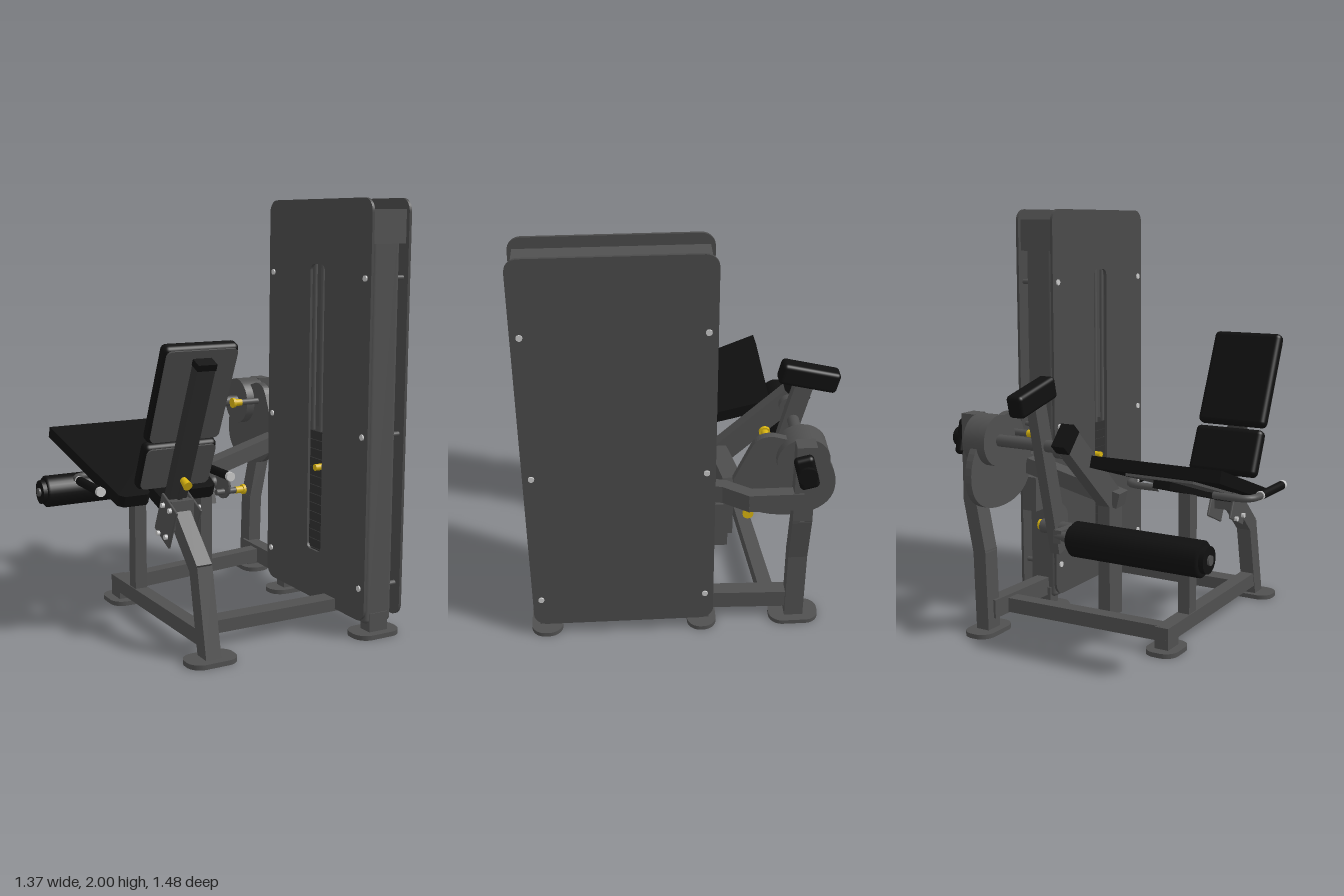
import * as THREE from 'three';
import { RoundedBoxGeometry } from 'three/addons/geometries/RoundedBoxGeometry.js';

const V = (x, y, z) => new THREE.Vector3(x, y, z);

export function createModel() {
  const root = new THREE.Group();
  const mat = (name, color) => {
    const m = new THREE.MeshStandardMaterial({ color });
    m.name = name;
    return m;
  };
  const frame = mat('frame grey', 0x505050), panel = mat('panel grey', 0x4a4a4a);
  const black = mat('black upholstery', 0x101010), dark = mat('dark steel', 0x303030);
  const yellow = mat('yellow', 0xd8b410), silver = mat('silver', 0xc8c8c8);

  const add = (name, geo, m, pos, parent = root) => {
    const mesh = new THREE.Mesh(geo, m);
    mesh.name = name;
    if (pos) mesh.position.copy(pos);
    parent.add(mesh);
    return mesh;
  };
  const box = (name, m, w, h, d, x, y, z, parent) => add(name, new THREE.BoxGeometry(w, h, d), m, V(x, y, z), parent);
  const pad = (name, m, w, h, d, r, x, y, z, parent) =>
    add(name, new RoundedBoxGeometry(w, h, d, 4, r), m, V(x, y, z), parent);
  // rod along x from x0 to x1
  const rod = (name, m, r, x0, x1, y, z, sides = 24) =>
    add(name, new THREE.CylinderGeometry(r, r, x1 - x0, sides).rotateZ(Math.PI / 2), m, V((x0 + x1) / 2, y, z));
  // square tube through points; w is its width along x (or z when it runs along x)
  const beam = (name, m, w, h, pts) => {
    const g = new THREE.Group();
    g.name = name;
    for (let i = 0; i < pts.length - 1; i++) {
      const d = pts[i + 1].clone().sub(pts[i]);
      const len = d.length();
      d.normalize();
      const side = Math.abs(d.x) > 0.8 ? V(0, 0, 1) : V(1, 0, 0);
      const n = d.clone().cross(side).normalize();
      side.copy(n).cross(d);
      const extra = pts.length > 2 ? h * 0.2 : 0;
      const b = box(name + 'Segment', m, w, h, len + extra, 0, 0, 0, g);
      b.quaternion.setFromRotationMatrix(new THREE.Matrix4().makeBasis(side, n, d));
      b.position.copy(pts[i]).add(pts[i + 1]).multiplyScalar(0.5);
    }
    root.add(g);
    return g;
  };
  const roundRect = (x0, y0, x1, y1, r, s = new THREE.Shape()) => {
    s.moveTo(x0 + r, y0).lineTo(x1 - r, y0).absarc(x1 - r, y0 + r, r, -Math.PI / 2, 0);
    s.lineTo(x1, y1 - r).absarc(x1 - r, y1 - r, r, 0, Math.PI / 2);
    s.lineTo(x0 + r, y1).absarc(x0 + r, y1 - r, r, Math.PI / 2, Math.PI);
    s.lineTo(x0, y0 + r).absarc(x0 + r, y0 + r, r, Math.PI, Math.PI * 1.5);
    return s;
  };
  const extrude = (s, depth) => new THREE.ExtrudeGeometry(s, { depth, bevelEnabled: false, curveSegments: 10 });
  // shape drawn with (-z, y) and extruded along +x
  const sidePlate = (name, m, s, depth, x) => add(name, extrude(s, depth).rotateY(Math.PI / 2), m, V(x, 0, 0));

  // feet
  const foot = (x, z, w, d) =>
    add('foot', extrude(roundRect(-w / 2, -d / 2, w / 2, d / 2, 0.065), 0.022).rotateX(-Math.PI / 2), frame, V(x, 0, z));
  foot(-0.335, 0.615, 0.24, 0.15);
  foot(0.5, 0.665, 0.24, 0.15);
  foot(0.5, -0.08, 0.24, 0.14);
  foot(-0.335, -0.33, 0.16, 0.2);
  foot(0.53, -0.53, 0.15, 0.24);

  // weight tower: side panels, the inner one slotted
  const outer = roundRect(-0.72, 0.08, 0.13, 2.0, 0.06);
  const inner = roundRect(-0.72, 0.08, 0.13, 2.0, 0.06);
  inner.holes.push(roundRect(-0.36, 0.32, -0.24, 1.7, 0.03, new THREE.Path()));
  sidePlate('outerPanel', panel, outer, 0.013, 0.605);
  sidePlate('innerPanel', panel, inner, 0.013, 0.405);
  for (const [z, leg] of [[0.645, 0.665], [-0.055, -0.08]]) {
    pad('towerColumn', frame, 0.15, 1.78, 0.1, 0.02, 0.505, 0.95, z);
    box('towerLeg', frame, 0.1, 0.1, 0.07, 0.505, 0.06, leg);
    box('towerCap', frame, 0.187, 0.15, 0.11, 0.5115, 1.875, z);
  }
  box('towerTop', frame, 0.187, 0.03, 0.7, 0.5115, 1.935, 0.295);
  box('towerBase', frame, 0.15, 0.06, 0.7, 0.505, 0.1, 0.295);
  for (const z of [0.68, -0.09]) for (const y of [0.235, 0.94, 1.65]) {
    rod('panelSpacer', frame, 0.012, 0.4, 0.622, y, z, 12);
    rod('panelBolt', silver, 0.014, 0.617, 0.625, y, z, 12);
    rod('panelBolt', silver, 0.014, 0.398, 0.406, y, z, 12);
  }
  // weight stack and guide rods
  for (let i = 0; i < 16; i++) box('weightPlate', dark, 0.11, 0.042, 0.34, 0.5, 0.2 + i * 0.045, 0.3);
  for (const z of [0.2, 0.265, 0.335, 0.4])
    add('guideRod', new THREE.CylinderGeometry(0.01, 0.01, 1.75, 12), frame, V(0.46, 1.0, z));
  rod('weightPin', yellow, 0.016, 0.405, 0.45, 0.73, 0.3);

  // base frame
  beam('frontCrossBar', frame, 0.09, 0.06, [V(-0.335, 0.1, 0.445), V(0.45, 0.1, 0.445)]);
  beam('rearCrossBar', frame, 0.07, 0.07, [V(-0.335, 0.09, -0.33), V(0.5, 0.11, -0.4)]);
  beam('baseRail', frame, 0.07, 0.07, [V(-0.335, 0.09, -0.38), V(-0.335, 0.1, 0.58)]);
  box('rearFootBlock', frame, 0.07, 0.06, 0.1, -0.335, 0.04, -0.33);
  beam('towerRail', frame, 0.07, 0.09, [V(0.505, 0.115, -0.08), V(0.52, 0.115, -0.53)]);
  beam('frontLeg', frame, 0.075, 0.08, [V(-0.335, 0.02, 0.61), V(-0.335, 0.4, 0.53), V(-0.335, 0.61, 0.31)]);
  beam('seatPost', frame, 0.06, 0.07, [V(-0.335, 0.1, -0.13), V(-0.335, 0.74, -0.13)]);
  beam('seatRail', black, 0.085, 0.06, [V(-0.335, 0.6, 0.3), V(-0.335, 0.8, -0.38)]);
  beam('rearUpright', frame, 0.07, 0.09,
    [V(0.53, 0.02, -0.53), V(0.54, 0.4, -0.53), V(0.59, 0.65, -0.53), V(0.59, 1.05, -0.53)]);
  beam('middleUpright', frame, 0.063, 0.115, [V(0.048, 0.08, -0.195), V(0.048, 0.64, -0.195), V(0.048, 1.0, -0.58)]);
  beam('uprightCap', black, 0.068, 0.122, [V(0.048, 0.97, -0.55), V(0.048, 1.01, -0.593)]);
  beam('diagonalBrace', frame, 0.09, 0.075, [V(-0.01, 0.64, -0.18), V(0.49, 0.77, -0.22)]);
  beam('towerArm', frame, 0.055, 0.09,
    [V(0.51, 0.765, -0.1), V(0.53, 0.765, -0.18), V(0.603, 0.765, -0.29), V(0.603, 0.765, -0.52)]);
  box('pulleyHousing', frame, 0.08, 0.17, 0.1, 0.5, 0.615, -0.17);

  // cam and pivot
  const cam = new THREE.Shape();
  cam.moveTo(0.22, 0.82);
  cam.lineTo(0.3, 1.0);
  cam.quadraticCurveTo(0.33, 1.06, 0.4, 1.05);
  cam.lineTo(0.5, 1.02);
  cam.bezierCurveTo(0.62, 0.98, 0.7, 0.88, 0.69, 0.76);
  cam.bezierCurveTo(0.68, 0.65, 0.58, 0.61, 0.48, 0.61);
  cam.bezierCurveTo(0.34, 0.61, 0.22, 0.66, 0.22, 0.82);
  sidePlate('cam', frame, cam, 0.035, 0.485);
  rod('camHub', frame, 0.12, 0.44, 0.56, 0.94, -0.53, 32);
  rod('pivotShaft', frame, 0.028, 0.06, 0.63, 0.94, -0.53);
  rod('pivotCollar', frame, 0.05, 0.08, 0.115, 0.94, -0.53);
  const cap = pad('pivotCover', black, 0.045, 0.17, 0.09, 0.02, 0.642, 0.94, -0.53);
  cap.rotation.x = 0.25;
  rod('pivotKnob', black, 0.045, 0.62, 0.68, 0.94, -0.53);

  // swinging lever with counterweight
  beam('leverArm', frame, 0.05, 0.085, [V(0.2, 0.42, -0.4), V(0.2, 1.15, -0.58)]);
  const weight = pad('counterweight', black, 0.085, 0.105, 0.28, 0.02, 0.207, 1.17, -0.595);
  weight.rotation.x = -0.24;
  rod('leverHub', frame, 0.033, 0.08, 0.28, 0.53, -0.42);
  rod('adjusterDisc', frame, 0.08, 0.245, 0.257, 0.54, -0.34, 32);
  beam('rollerArm', frame, 0.04, 0.06, [V(0.1, 0.53, -0.4), V(0.08, 0.545, -0.6)]);
  const knob = (x, y, z, from) => {
    rod('knobShaft', frame, 0.016, from, x, y, z);
    rod('pullKnob', yellow, 0.018, x, x + 0.055, y, z);
    rod('pullKnobHead', yellow, 0.026, x + 0.04, x + 0.055, y, z);
  };
  knob(0.315, 0.5, -0.315, 0.2);
  rod('upperKnobShaft', frame, 0.016, 0.375, 0.5, 0.955, -0.38);
  rod('upperKnob', yellow, 0.018, 0.33, 0.385, 0.955, -0.38);
  rod('upperKnobHead', yellow, 0.026, 0.33, 0.345, 0.955, -0.38);

  // leg roller
  const profile = [[0, -0.325], [0.07, -0.325], [0.08, -0.315], [0.08, 0.315], [0.07, 0.325], [0, 0.325]];
  add('legRoller', new THREE.LatheGeometry(profile.map(p => new THREE.Vector2(...p)), 32).rotateZ(Math.PI / 2),
    black, V(-0.325, 0.545, -0.58));
  rod('rollerCap', black, 0.06, -0.672, 0.012, 0.545, -0.58);
  rod('rollerAxle', frame, 0.022, -0.682, 0.1, 0.545, -0.58);

  // seat cushion, sloping and notched
  const seat = new THREE.Shape();
  [[-0.325, 0.47], [0.325, 0.47], [0.245, -0.19], [0.22, -0.21], [0.11, -0.21], [0.09, -0.19], [0.09, -0.03], [0.06, 0],
    [-0.06, 0], [-0.09, -0.03], [-0.09, -0.19], [-0.11, -0.21], [-0.22, -0.21], [-0.245, -0.19]]
    .forEach(([x, y], i) => (i ? seat.lineTo(x, y * 1.04) : seat.moveTo(x, y * 1.04)));
  const seatGroup = new THREE.Group();
  seatGroup.name = 'seat';
  seatGroup.position.set(-0.335, 0.695, 0);
  seatGroup.rotation.x = 0.318;
  root.add(seatGroup);
  add('seatCushion', extrude(seat, 0.055).rotateX(-Math.PI / 2), black, null, seatGroup);
  box('seatPlate', frame, 0.34, 0.012, 0.42, 0, -0.006, -0.22, seatGroup);
  for (const s of [-1, 1]) box('seatPlateArm', frame, 0.06, 0.012, 0.2, s * 0.15, -0.006, 0.08, seatGroup);

  // side handles
  for (const s of [-1, 1]) {
    const at = (dx, z) => V(-0.335 + s * dx, 0.71, z);
    const path = new THREE.CatmullRomCurve3([at(0.14, -0.145), at(0.27, -0.145), at(0.315, -0.12), at(0.33, -0.06), at(0.33, 0)]);
    add('handleTube', new THREE.TubeGeometry(path, 24, 0.017, 12), frame);
    const along = (name, r, z0, z1, m) =>
      add(name, new THREE.CylinderGeometry(r, r, z1 - z0, 20).rotateX(Math.PI / 2), m, at(0.33, (z0 + z1) / 2));
    along('handleGrip', 0.021, -0.045, 0.19, black);
    along('handleEnd', 0.022, 0.19, 0.21, silver);
    along('handleCollar', 0.022, -0.055, -0.045, silver);
  }

  // reclined backrest on its post
  const back = new THREE.Group();
  back.name = 'backrest';
  back.position.set(-0.335, 0.72, 0.235);
  back.rotation.x = 0.42;
  root.add(back);
  for (const [y0, y1] of [[0, 0.235], [0.25, 0.73]]) {
    pad('backPad', black, 0.36, y1 - y0, 0.065, 0.025, 0, (y0 + y1) / 2, 0, back);
    add('backPadPlate', extrude(roundRect(-0.17, y0 + 0.012, 0.17, y1 - 0.012, 0.025), 0.008), frame, V(0, 0, 0.03), back);
  }
  box('backPost', dark, 0.085, 0.78, 0.055, 0, 0.27, 0.066, back);
  box('backPostCap', black, 0.09, 0.03, 0.06, 0, 0.665, 0.066, back);
  add('backKnob', new THREE.CylinderGeometry(0.022, 0.016, 0.05, 20).rotateX(Math.PI / 2), yellow, V(0, 0.09, 0.125), back);
  box('backLever', dark, 0.02, 0.17, 0.015, 0, 0.0, 0.105, back);

  // carriage joining backrest, rail and front leg
  for (const s of [-1, 1]) {
    const plate = pad('carriagePlate', frame, 0.012, 0.2, 0.16, 0.005, -0.335 + s * 0.06, 0.57, 0.31);
    plate.rotation.x = 0.42;
    for (const [y, z] of [[0.5, 0.25], [0.5, 0.33], [0.64, 0.3], [0.63, 0.37]])
      rod('carriageBolt', silver, 0.012, -0.345 + s * 0.07, -0.325 + s * 0.07, y, z, 12);
  }
  box('carriageBlock', frame, 0.11, 0.13, 0.1, -0.335, 0.6, 0.31);
  return root;
}
